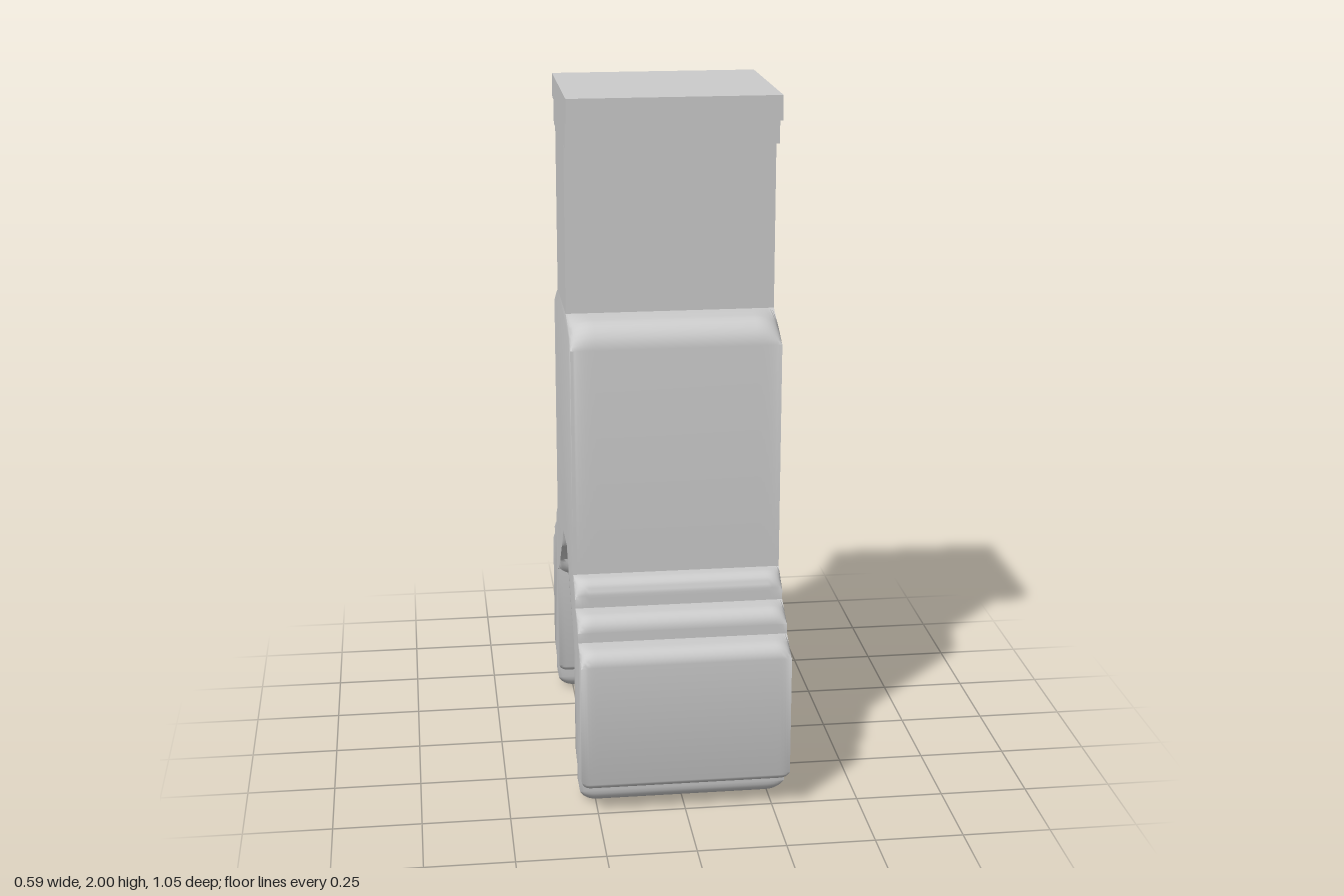
import * as THREE from 'three';
import { toCreasedNormals } from 'three/addons/utils/BufferGeometryUtils.js';

const HALF_WIDTH = 0.297;
const SHIFT = -0.005; // the upper parts sit slightly behind the middle

// Profile points are { full, end, r }: position along the middle, position on the
// side face, and the length over which the one blends into the other.
const plain = (z, y) => ({ full: [z, y], end: [z, y], r: 0.01 });

// A curve that flattens onto the chord between its ends at the side faces
function blend(points, r) {
  const [az, ay] = points[0];
  const [bz, by] = points[points.length - 1];
  const dz = bz - az, dy = by - ay, len2 = dz * dz + dy * dy;
  return points.map(([z, y]) => {
    const t = THREE.MathUtils.clamp(((z - az) * dz + (y - ay) * dy) / len2, 0, 1);
    return { full: [z, y], end: [az + dz * t, ay + dy * t], r };
  });
}

// Edge from a round corner c to e, with fillet radius r
function rounded(a, c, e, r) {
  const toward = (p) => {
    const d = Math.hypot(p[0] - c[0], p[1] - c[1]);
    return [(p[0] - c[0]) / d * r, (p[1] - c[1]) / d * r];
  };
  const u = toward(a), v = toward(e), points = [a];
  for (let i = 0; i <= 6; i++) {
    const t = i / 6 * Math.PI / 2;
    const ku = 1 - Math.sin(t), kv = 1 - Math.cos(t);
    points.push([c[0] + u[0] * ku + v[0] * kv, c[1] + u[1] * ku + v[1] * kv]);
  }
  points.push(e);
  // drop repeated end points
  const clean = points.filter((p, i) => i === 0 ||
    Math.hypot(p[0] - points[i - 1][0], p[1] - points[i - 1][1]) > 1e-4);
  return blend(clean, r);
}

// Half of the body outline, from the neck down the outside and up the inside
function halfProfile() {
  const footTip = [];
  for (let i = 0; i <= 12; i++) {
    const t = i / 12 * Math.PI;
    footTip.push([0.4025 + 0.0425 * Math.cos(t), 0.0425 - 0.0425 * Math.sin(t)]);
  }
  return [
    ...rounded([0.15, 1.38], [0.296, 1.38], [0.296, 1.31], 0.07),    // shoulder
    plain(0.296, 0.65),
    ...rounded([0.297, 0.65], [0.361, 0.65], [0.361, 0.6], 0.04),    // upper step
    plain(0.361, 0.573),
    ...rounded([0.362, 0.573], [0.445, 0.573], [0.445, 0.53], 0.04), // lower step
    plain(0.445, 0.502),
    ...rounded([0.446, 0.502], [0.527, 0.502], [0.527, 0.46], 0.04), // leg top
    ...rounded([0.527, 0.11], [0.527, 0.085], [0.446, 0.085], 0.025),
    plain(0.445, 0.085),
    ...blend(footTip, 0.05),                                         // foot
    plain(0.36, 0.085),
    ...rounded([0.359, 0.085], [0.299, 0.085], [0.299, 0.11], 0.025),
    plain(0.299, 0.44),
    ...rounded([0.298, 0.44], [0.21, 0.44], [0.21, 0.505], 0.05),    // inner ledges
    plain(0.145, 0.57),
    ...rounded([0.142, 0.572], [0.077, 0.572], [0.077, 0.64], 0.05),
    plain(0.077, 0.655),
  ];
}

function bodyGeometry() {
  const half = halfProfile();
  const flip = (p) => ({ full: [-p.full[0], p.full[1]], end: [-p.end[0], p.end[1]], r: p.r });
  const profile = [...half, ...half.map(flip).reverse()];
  const n = profile.length;

  // cross-sections, closer together near both side faces
  const insets = [0, 0.002, 0.006, 0.012, 0.02, 0.03, 0.04, 0.05, 0.06, 0.07];
  const sections = [
    ...insets.map((d) => [-HALF_WIDTH + d, d]),
    ...insets.map((d) => [HALF_WIDTH - d, d]).reverse(),
  ];
  const positions = [], index = [];
  for (const [x, d] of sections) {
    for (const { full, end, r } of profile) {
      const k = 1 - Math.min(1, d / r);
      const w = Math.sqrt(1 - k * k);
      const z = end[0] + (full[0] - end[0]) * w;
      const y = end[1] + (full[1] - end[1]) * w;
      positions.push(x, y, z + (Math.abs(z) < 0.5 ? SHIFT : 0));
    }
  }
  for (let j = 0; j < sections.length - 1; j++) {
    for (let i = 0; i < n; i++) {
      const a = j * n + i, b = j * n + (i + 1) % n;
      index.push(a, b, b + n, a, b + n, a + n);
    }
  }
  // flat side faces
  const outline = profile.map((p) => new THREE.Vector2(p.end[0], p.end[1]));
  const last = (sections.length - 1) * n;
  for (const [a, b, c] of THREE.ShapeUtils.triangulateShape(outline, [])) {
    const area = THREE.ShapeUtils.area([outline[a], outline[b], outline[c]]);
    if (Math.abs(area) < 1e-9) continue;
    const [p, q] = area < 0 ? [b, c] : [c, b];
    index.push(last + a, last + p, last + q, a, q, p);
  }
  const geometry = new THREE.BufferGeometry();
  geometry.setAttribute('position', new THREE.Float32BufferAttribute(positions, 3));
  geometry.setIndex(index);
  return toCreasedNormals(geometry, 0.6);
}

export function createModel() {
  const model = new THREE.Group();
  model.name = 'forkedPost';
  const material = new THREE.MeshStandardMaterial({ color: 0xcccccc });

  const add = (name, geometry) => {
    const mesh = new THREE.Mesh(geometry, material);
    mesh.name = name;
    model.add(mesh);
    return mesh;
  };
  const block = (name, halfDepth, bottom, top) => {
    const mesh = add(name, new THREE.BoxGeometry(2 * HALF_WIDTH, top - bottom, 2 * halfDepth));
    mesh.position.set(0, (top + bottom) / 2, SHIFT);
  };

  // stepped head on a straight neck
  block('topPlate', 0.251, 1.93, 2);
  block('lowerPlate', 0.205, 1.86, 1.93);
  block('neck', 0.15, 1.38, 1.86);

  // body with stepped shoulders, two legs and feet
  add('bodyAndLegs', bodyGeometry());
  return model;
}
